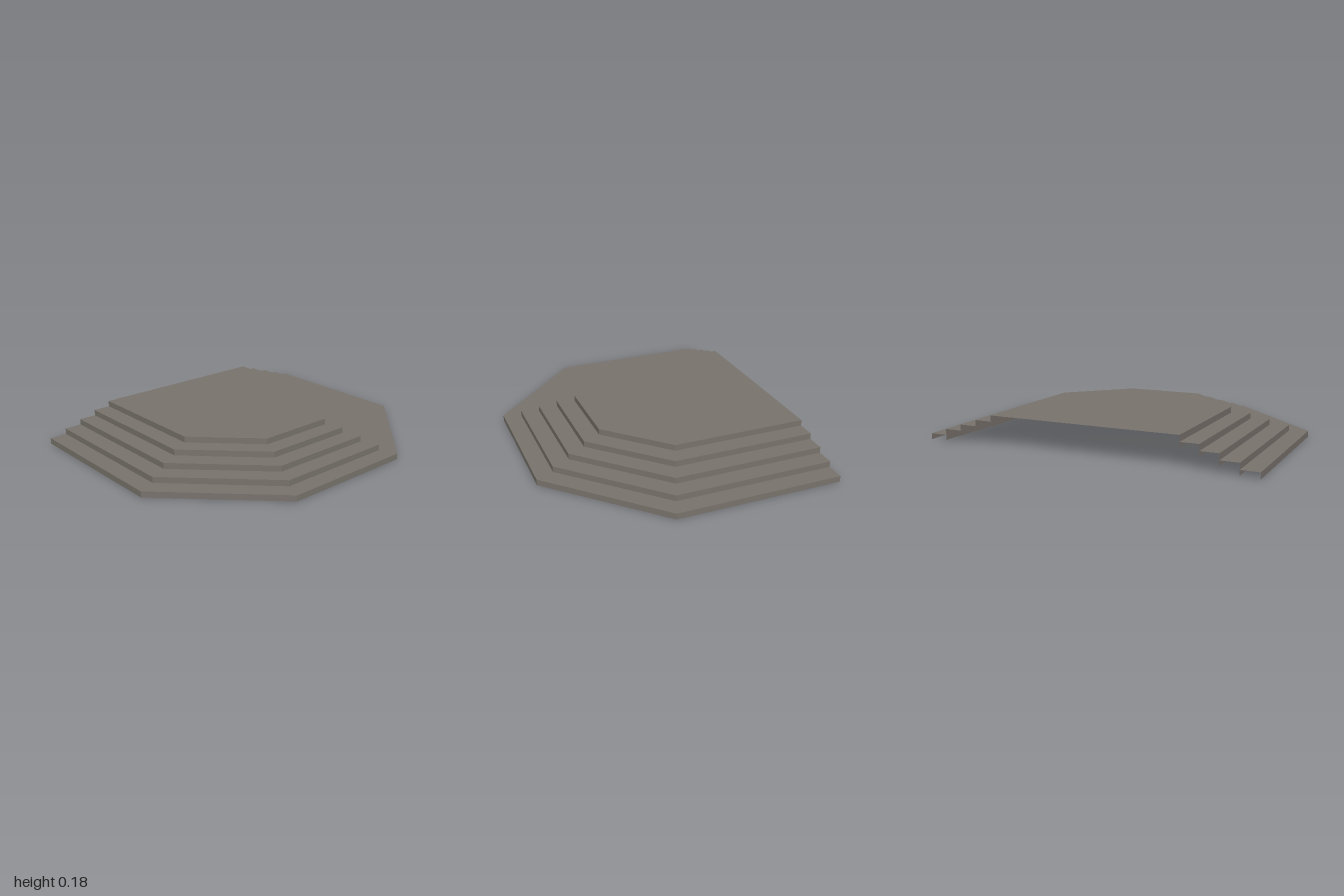
import * as THREE from 'three';

const STEPS = 5, RISE = 0.036, INSET = 0.1065, BACK = -0.79, CENTRE = -0.21;
const HANG = 0.03; // how far each upper riser drops below the tread in front of it

// Open half-octagon outline at height y, running from the front end to the back end
function outline(r, y) {
  const k = r * (Math.SQRT2 - 1);
  return [[BACK, r], [CENTRE + k, r], [CENTRE + r, k],
    [CENTRE + r, -k], [CENTRE + k, -r], [BACK, -r]].map(([x, z]) => new THREE.Vector3(x, y, z));
}

// Flat-shaded strip of quads between two outlines
function ribbon(a, b) {
  const pts = [];
  for (let i = 0; i < a.length - 1; i++) {
    pts.push(a[i], a[i + 1], b[i + 1], a[i], b[i + 1], b[i]);
  }
  const geo = new THREE.BufferGeometry().setFromPoints(pts);
  geo.computeVertexNormals();
  return geo;
}

export function createModel() {
  const group = new THREE.Group();
  group.name = 'steppedPlatform';
  const stone = new THREE.MeshStandardMaterial({ color: 0x79736c, side: THREE.DoubleSide });
  stone.name = 'warm grey stone';

  const add = (name, geo) => {
    const mesh = new THREE.Mesh(geo, stone);
    mesh.name = name;
    group.add(mesh);
    return mesh;
  };

  for (let i = 0; i < STEPS; i++) {
    const r = 1 - INSET * i, top = RISE * (i + 1);
    // Riser around the step
    add(`riser${i + 1}`, ribbon(outline(r, i ? RISE * i - HANG : 0), outline(r, top)));
    if (i < STEPS - 1) {
      // Tread reaching in to the next riser
      add(`tread${i + 1}`, ribbon(outline(r, top), outline(r - INSET, top)));
    } else {
      // Landing on the last step
      const shape = new THREE.Shape(outline(r, 0).map((p) => new THREE.Vector2(p.x, -p.z)));
      add('landing', new THREE.ShapeGeometry(shape).rotateX(-Math.PI / 2)).position.y = top;
    }
  }
  return group;
}
